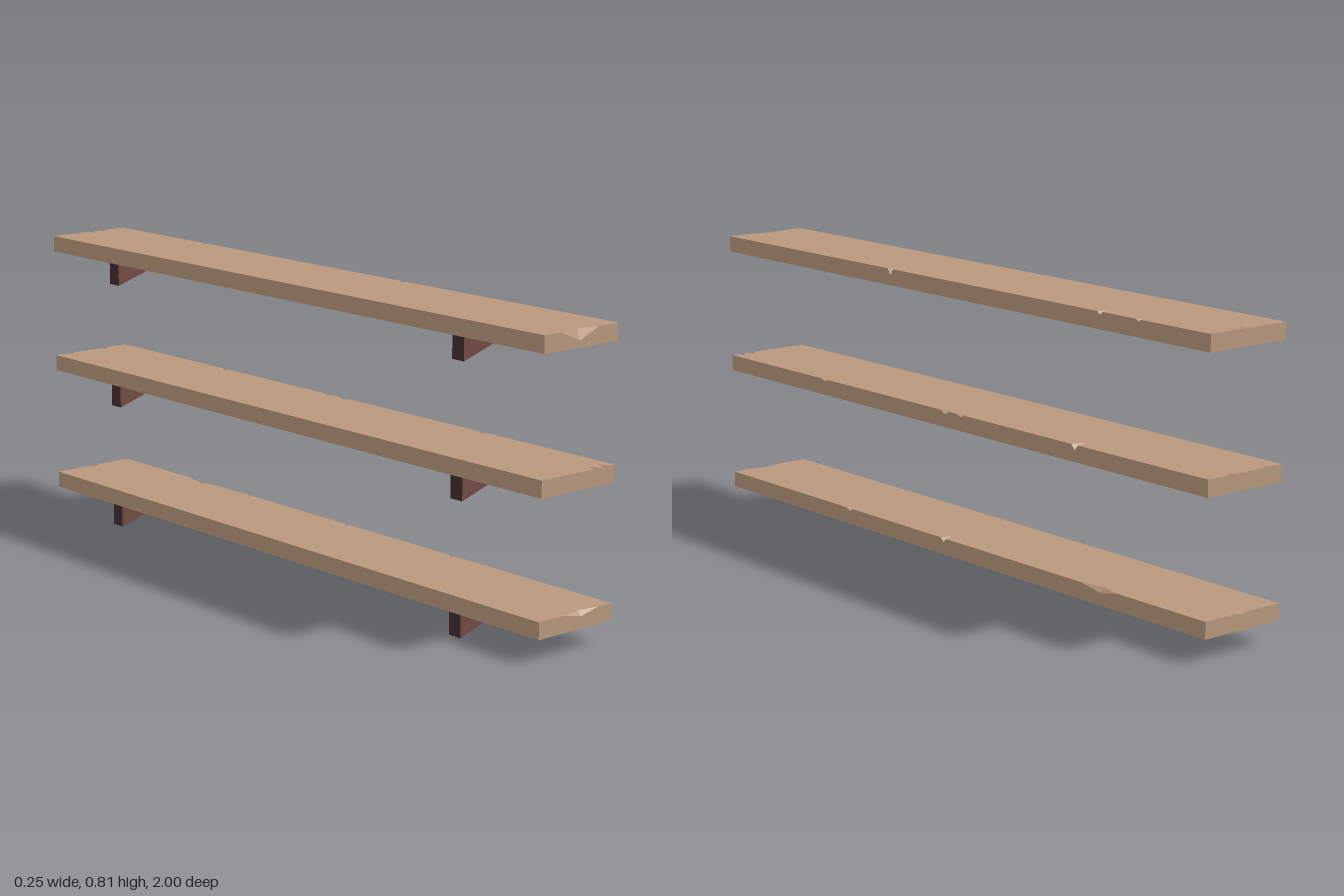
import * as THREE from 'three';
import { mergeGeometries } from 'three/addons/utils/BufferGeometryUtils.js';

const HALF_W = 0.126, HALF_L = 1, THICK = 0.045, BRACKET_H = 0.06, SPACING = 0.353;

// Chipped edges per shelf: [position along edge, half width, depth down, depth inward].
// Position runs left to right when facing that edge.
const SHELVES = [
  {
    front: [[0.02, 0.06, 0.013, 0.01]],
    right: [[-0.43, 0.015, 0.008, 0.02], [-0.01, 0.012, 0.01, 0.03], [0.62, 0.07, 0.012, 0.015]],
    back: [[0, 0.02, 0.004, 0.02]],
  },
  {
    front: [[0.062, 0.008, 0.01, 0.03], [0.097, 0.008, 0.01, 0.03]],
    right: [[-0.54, 0.02, 0.005, 0.012], [0, 0.022, 0.01, 0.015], [0.065, 0.02, 0.006, 0.012], [0.52, 0.012, 0.014, 0.03]],
    back: [[-0.045, 0.008, 0.01, 0.02], [0.075, 0.008, 0.008, 0.025]],
  },
  {
    front: [[-0.005, 0.065, 0.028, 0.012]],
    right: [[-0.235, 0.012, 0.018, 0.02], [0.61, 0.01, 0.008, 0.035], [0.75, 0.008, 0.006, 0.015]],
    back: [[-0.045, 0.008, 0.008, 0.03], [-0.01, 0.008, 0.008, 0.03]],
  },
];

const prepare = (geo) => {
  const g = geo.index ? geo.toNonIndexed() : geo;
  g.deleteAttribute('uv');
  return g;
};

// Plank top and sides, with a two-facet chip cut out of the edge at each listed place
function plankGeometry({ front, right, back }) {
  const parts = [], outline = [];
  const up = new THREE.Vector3(0, 1, 0);
  [front, right, back, []].forEach((chips, k) => {
    const half = k % 2 ? HALF_L : HALF_W;
    const dist = k % 2 ? HALF_W : HALF_L;
    const angle = k * Math.PI / 2;
    const rim = [], facets = [];
    const addOutline = (u, z) => {
      const p = new THREE.Vector3(u, 0, z).applyAxisAngle(up, angle);
      outline.push(new THREE.Vector2(p.x, -p.z));
    };
    addOutline(-half, dist);
    for (const [u, w, down, inward] of chips) {
      const a = [u - w, THICK, dist], b = [u + w, THICK, dist];
      const s = [u, THICK - down, dist], t = [u, THICK, dist - inward];
      facets.push(...a, ...s, ...t, ...s, ...b, ...t);
      for (const p of [a, s, b]) rim.push(new THREE.Vector2(p[0], p[1]));
      for (const p of [a, t, b]) addOutline(p[0], p[2]);
    }
    // side face
    const side = new THREE.Shape([
      new THREE.Vector2(-half, 0), new THREE.Vector2(half, 0),
      new THREE.Vector2(half, THICK), ...rim.reverse(), new THREE.Vector2(-half, THICK),
    ]);
    parts.push(prepare(new THREE.ShapeGeometry(side)).translate(0, 0, dist).rotateY(angle));
    // chip facets
    if (facets.length) {
      const g = new THREE.BufferGeometry();
      g.setAttribute('position', new THREE.Float32BufferAttribute(facets, 3));
      g.computeVertexNormals();
      parts.push(g.rotateY(angle));
    }
  });
  // top face
  parts.push(prepare(new THREE.ShapeGeometry(new THREE.Shape(outline)))
    .rotateX(-Math.PI / 2).translate(0, THICK, 0));
  return mergeGeometries(parts);
}

export function createModel() {
  const material = (name, color) => {
    const m = new THREE.MeshStandardMaterial({ color });
    m.name = name;
    return m;
  };
  const wood = material('light wood', 0xb9997d);
  const brown = material('brown wood', 0x724c42);
  const dark = material('dark brown edge', 0x452c31);

  const model = new THREE.Group();
  model.name = 'wallShelves';

  // Wedge bracket, tall at the wall side
  const depth = 0.042;
  const wedge = new THREE.ExtrudeGeometry(new THREE.Shape([
    new THREE.Vector2(-HALF_W, 0), new THREE.Vector2(0.06, BRACKET_H), new THREE.Vector2(-HALF_W, BRACKET_H),
  ]), { depth, bevelEnabled: false }).translate(0, 0, -depth / 2);
  const underside = new THREE.PlaneGeometry(HALF_W * 2, HALF_L * 2).rotateX(Math.PI / 2);

  SHELVES.forEach((chips, i) => {
    const shelf = new THREE.Group();
    shelf.name = ['lowerShelf', 'middleShelf', 'upperShelf'][i];
    shelf.position.y = i * SPACING;
    const add = (name, geo, mat, y, z = 0) => {
      const mesh = new THREE.Mesh(geo, mat);
      mesh.name = name;
      mesh.position.set(0, y, z);
      shelf.add(mesh);
    };
    add('plank', plankGeometry(chips), wood, BRACKET_H);
    add('plankUnderside', underside, brown, BRACKET_H);
    add('frontBracket', wedge, [brown, dark], 0, 0.706);
    add('backBracket', wedge, [brown, dark], 0, -0.706);
    model.add(shelf);
  });
  return model;
}
